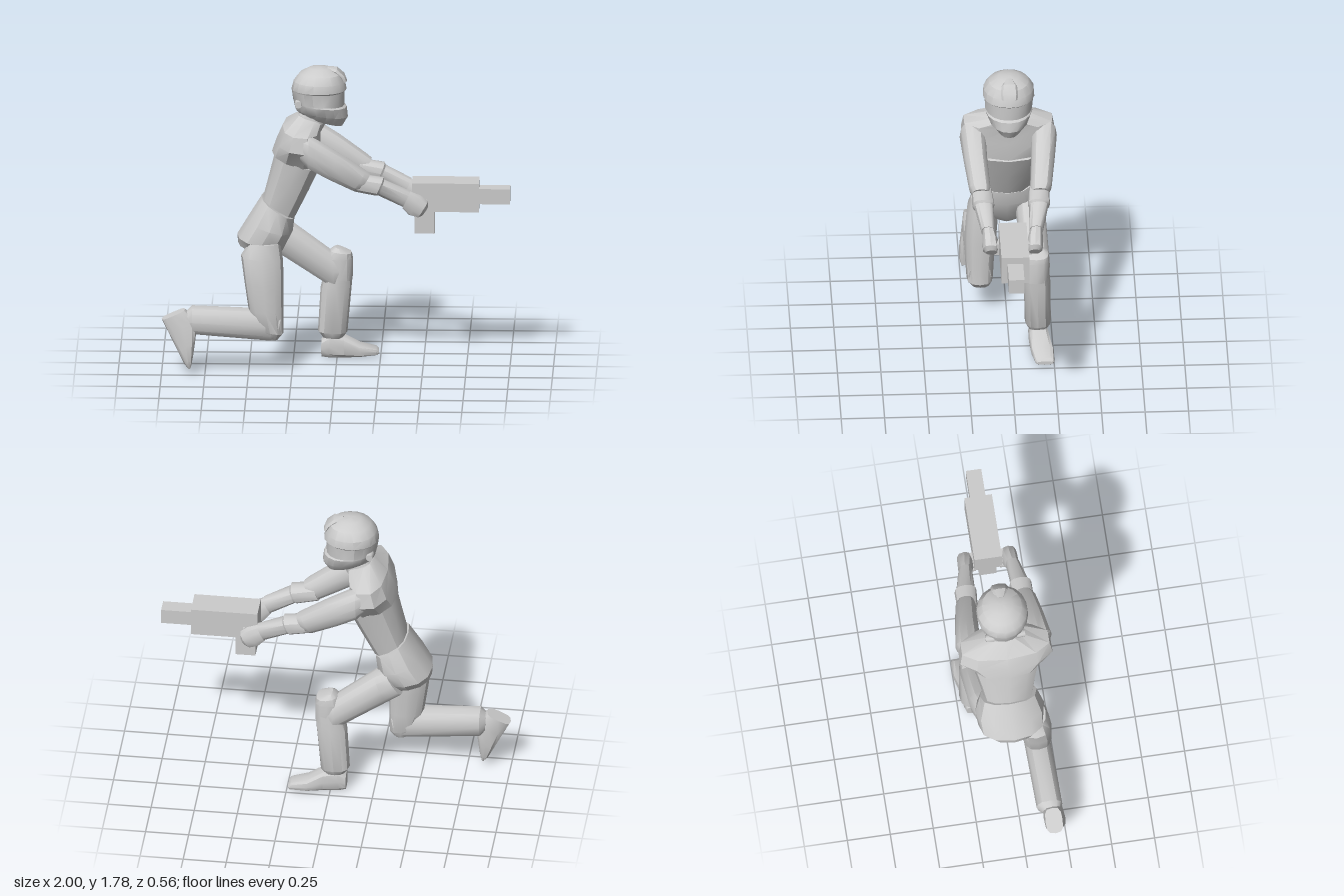
import * as THREE from 'three';
import { toCreasedNormals } from 'three/addons/utils/BufferGeometryUtils.js';

// Skin a run of rings. Each ring is [x1, y1, x2, y2, zCentre, zHalfWidth]:
// two opposite points in the side profile plus its sideways extent.
function loft(rings, sides = 12, power = 0.8, crease = 0.6) {
  const bend = (v) => Math.sign(v) * Math.pow(Math.abs(v), power);
  const loops = rings.map(([x1, y1, x2, y2, z, w]) =>
    Array.from({ length: sides }, (_, i) => {
      const a = (i / sides) * Math.PI * 2;
      const u = bend(Math.cos(a)) / 2;
      return new THREE.Vector3(
        (x1 + x2) / 2 + (x1 - x2) * u,
        (y1 + y2) / 2 + (y1 - y2) * u,
        z + w * bend(Math.sin(a))
      );
    })
  );
  const centre = ([x1, y1, x2, y2, z]) => new THREE.Vector3((x1 + x2) / 2, (y1 + y2) / 2, z);
  const first = centre(rings[0]);
  const last = centre(rings[rings.length - 1]);
  const end = loops[loops.length - 1];
  const tris = [];
  for (let i = 0; i < sides; i++) {
    const j = (i + 1) % sides;
    for (let k = 0; k + 1 < loops.length; k++) {
      const p = loops[k], q = loops[k + 1];
      tris.push([p[i], p[j], q[j]], [p[i], q[j], q[i]]);
    }
    tris.push([first, loops[0][j], loops[0][i]], [last, end[i], end[j]]);
  }
  // Turn the faces outward whichever way the rings run
  const cross = new THREE.Vector3();
  const volume = tris.reduce((s, [a, b, c]) => s + a.dot(cross.crossVectors(b, c)), 0);
  const points = tris.flatMap(([a, b, c]) => (volume > 0 ? [a, b, c] : [a, c, b]));
  return toCreasedNormals(new THREE.BufferGeometry().setFromPoints(points), crease);
}

export function createModel() {
  const model = new THREE.Group();
  model.name = 'kneelingFigure';
  const grey = new THREE.MeshStandardMaterial({ color: 0xcccccc });
  grey.name = 'plainGrey';

  const add = (name, geometry, x = 0, y = 0, z = 0) => {
    const mesh = new THREE.Mesh(geometry, grey);
    mesh.name = name;
    mesh.position.set(x, y, z);
    model.add(mesh);
    return mesh;
  };

  // Helmet with a recessed visor band
  add('helmet', loft([
    [-0.205, 1.5, 0.035, 1.43, 0, 0.075],
    [-0.235, 1.53, 0.067, 1.485, 0, 0.115],
    [-0.245, 1.575, 0.06, 1.545, 0, 0.137],
    [-0.247, 1.58, 0.046, 1.555, 0, 0.135],
    [-0.257, 1.645, 0.048, 1.64, 0, 0.143],
    [-0.258, 1.65, 0.06, 1.65, 0, 0.149],
    [-0.245, 1.7, 0.05, 1.695, 0, 0.145],
    [-0.21, 1.745, 0.025, 1.74, 0, 0.115],
    [-0.155, 1.775, -0.03, 1.772, 0, 0.06],
    [-0.11, 1.78, -0.08, 1.78, 0, 0.015]
  ], 18, 0.95, 0.5));
  // Raised crest on the brow
  add('helmetCrest', loft([
    [0.062, 1.7, 0.03, 1.69, 0, 0.045],
    [0.05, 1.735, 0.015, 1.72, 0, 0.05],
    [0.005, 1.776, -0.01, 1.74, 0, 0.045],
    [-0.05, 1.782, -0.05, 1.76, 0, 0.02]
  ], 8));
  for (const side of [1, -1]) {
    const ear = add('earPiece', new THREE.CylinderGeometry(0.02, 0.024, 0.05, 10), -0.215, 1.58, side * 0.09);
    ear.rotation.x = side * Math.PI / 2;
  }

  // Trunk
  add('neck', loft([
    [-0.25, 1.45, -0.09, 1.39, 0, 0.09],
    [-0.2, 1.54, -0.04, 1.48, 0, 0.075]
  ]));
  add('shoulderYoke', loft([
    [-0.37, 1.275, -0.1, 1.19, 0, 0.2],
    [-0.345, 1.35, -0.09, 1.31, 0, 0.28],
    [-0.31, 1.43, -0.09, 1.41, 0, 0.265],
    [-0.225, 1.505, -0.075, 1.455, 0, 0.09]
  ], 10, 0.85, 0.45));
  add('torso', loft([
    [-0.42, 1.005, -0.235, 0.89, 0, 0.145],
    [-0.385, 1.14, -0.16, 1.04, 0, 0.17],
    [-0.35, 1.28, -0.09, 1.19, 0, 0.2]
  ], 12, 0.8));
  add('pelvis', loft([
    [-0.43, 1.01, -0.24, 0.885, 0, 0.165],
    [-0.51, 0.88, -0.25, 0.8, 0, 0.2],
    [-0.57, 0.78, -0.29, 0.72, 0, 0.19],
    [-0.565, 0.73, -0.32, 0.66, 0, 0.14],
    [-0.46, 0.67, -0.34, 0.635, 0, 0.05]
  ], 12, 0.85));

  // Arms, mirrored left and right
  for (const s of [1, -1]) {
    add('upperArm', loft([
      [-0.2, 1.43, -0.21, 1.28, s * 0.2, 0.055],
      [-0.15, 1.425, -0.16, 1.23, s * 0.205, 0.075],
      [0.02, 1.32, -0.05, 1.165, s * 0.193, 0.068],
      [0.175, 1.21, 0.1, 1.09, s * 0.175, 0.062],
      [0.2, 1.19, 0.14, 1.09, s * 0.17, 0.05]
    ]));
    add('forearm', loft([
      [0.14, 1.185, 0.105, 1.085, s * 0.165, 0.058],
      [0.275, 1.165, 0.23, 1.06, s * 0.16, 0.064],
      [0.28, 1.15, 0.245, 1.06, s * 0.158, 0.055],
      [0.43, 1.08, 0.385, 0.985, s * 0.138, 0.04]
    ]));
    add('hand', loft([
      [0.42, 1.08, 0.385, 0.975, s * 0.138, 0.036],
      [0.49, 1.05, 0.42, 0.935, s * 0.13, 0.046],
      [0.53, 1.015, 0.47, 0.92, s * 0.128, 0.045],
      [0.53, 0.98, 0.495, 0.93, s * 0.125, 0.032]
    ], 10));
    // Curled fingers against the gun
    for (let i = 0; i < 3; i++) {
      add('finger', new THREE.BoxGeometry(0.06, 0.026, 0.04), 0.49 - i * 0.012, 1.0 - i * 0.03, s * 0.09);
    }
  }

  // Kneeling leg
  add('kneelingThigh', loft([
    [-0.5, 0.76, -0.32, 0.765, 0.13, 0.075],
    [-0.545, 0.69, -0.302, 0.66, 0.135, 0.092],
    [-0.525, 0.54, -0.3, 0.5, 0.148, 0.092],
    [-0.5, 0.37, -0.3, 0.36, 0.155, 0.084],
    [-0.45, 0.26, -0.3, 0.23, 0.155, 0.076],
    [-0.41, 0.2, -0.33, 0.195, 0.15, 0.05]
  ]));
  add('kneelingShin', loft([
    [-0.31, 0.35, -0.34, 0.195, 0.155, 0.065],
    [-0.4, 0.375, -0.37, 0.185, 0.155, 0.075],
    [-0.825, 0.392, -0.825, 0.225, 0.165, 0.075],
    [-0.86, 0.36, -0.855, 0.25, 0.17, 0.05]
  ]));
  add('kneelingFoot', loft([
    [-1, 0.315, -0.865, 0.375, 0.175, 0.05],
    [-0.96, 0.235, -0.795, 0.31, 0.18, 0.058],
    [-0.91, 0.135, -0.805, 0.2, 0.192, 0.06],
    [-0.87, 0.06, -0.82, 0.09, 0.197, 0.056],
    [-0.845, 0.03, -0.83, 0.04, 0.2, 0.04]
  ], 12, 0.65));

  // Standing leg
  add('standingThigh', loft([
    [-0.31, 0.83, -0.41, 0.67, -0.125, 0.07],
    [-0.25, 0.81, -0.33, 0.625, -0.135, 0.085],
    [-0.03, 0.64, -0.01, 0.41, -0.155, 0.08],
    [0.05, 0.6, 0.07, 0.46, -0.155, 0.06]
  ]));
  add('standingKnee', loft([
    [-0.05, 0.48, 0.09, 0.47, -0.155, 0.07],
    [-0.06, 0.6, 0.092, 0.6, -0.155, 0.076],
    [-0.04, 0.645, 0.085, 0.63, -0.155, 0.07],
    [-0.01, 0.665, 0.03, 0.655, -0.155, 0.04]
  ]));
  add('standingShin', loft([
    [-0.06, 0.56, 0.09, 0.56, -0.155, 0.07],
    [-0.095, 0.42, 0.085, 0.44, -0.16, 0.077],
    [-0.11, 0.16, 0.06, 0.155, -0.165, 0.075],
    [-0.085, 0.125, 0.035, 0.12, -0.165, 0.055]
  ]));
  add('standingFoot', loft([
    [-0.09, 0.11, -0.09, 0.008, -0.16, 0.045],
    [-0.04, 0.15, -0.05, 0, -0.165, 0.055],
    [0.04, 0.135, 0.04, 0, -0.17, 0.06],
    [0.13, 0.08, 0.13, 0.003, -0.185, 0.066],
    [0.225, 0.055, 0.23, 0.012, -0.195, 0.055],
    [0.24, 0.04, 0.24, 0.02, -0.197, 0.045]
  ], 12, 0.65));

  // Block gun
  add('gunBody', new THREE.BoxGeometry(0.385, 0.17, 0.16), 0.63, 1.023, 0);
  add('gunBarrel', new THREE.BoxGeometry(0.18, 0.09, 0.09), 0.91, 1.022, 0);
  add('gunGrip', new THREE.BoxGeometry(0.115, 0.15, 0.1), 0.51, 0.875, 0);

  return model;
}
